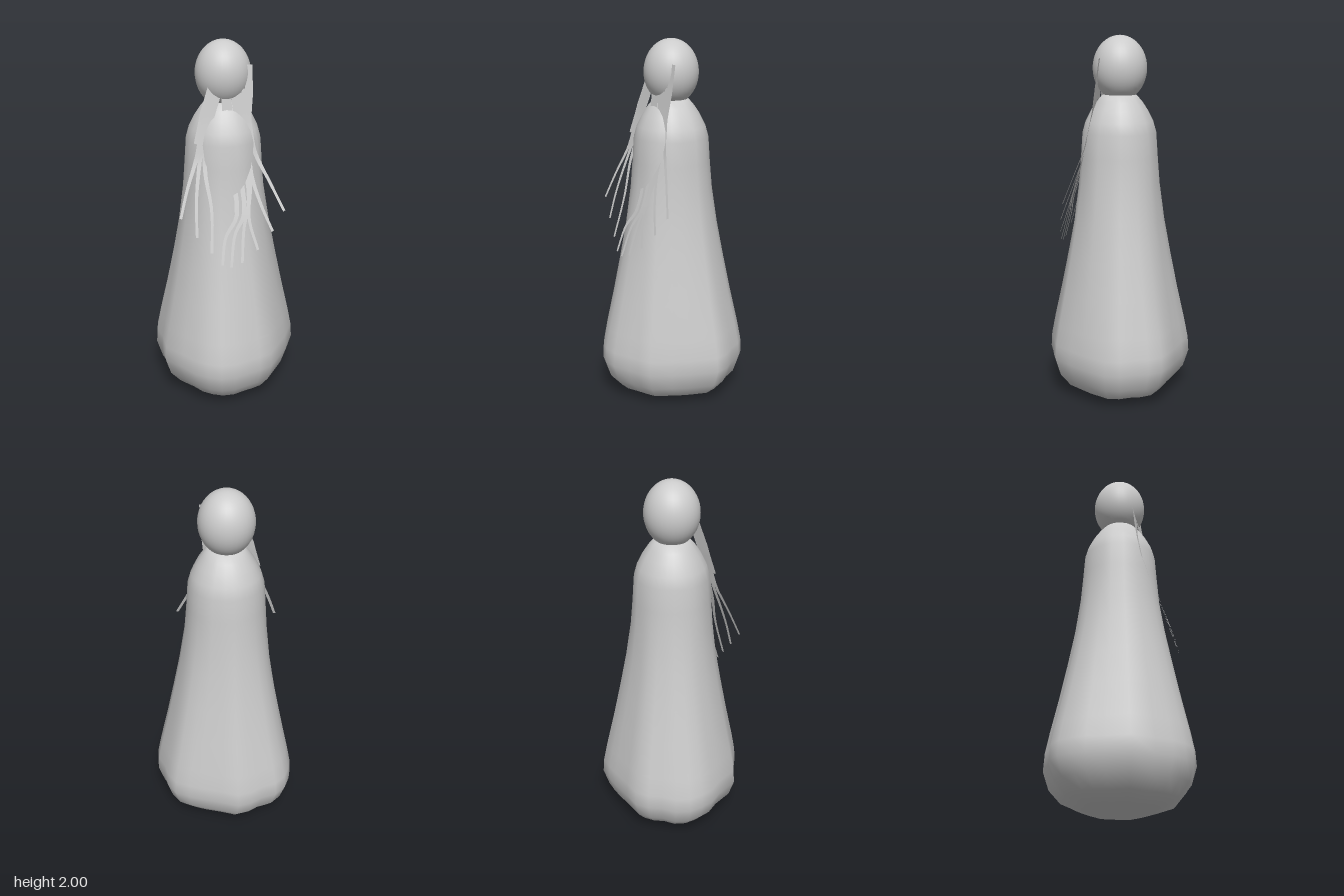
import * as THREE from 'three';
import { mergeVertices } from 'three/addons/utils/BufferGeometryUtils.js';

const CX = -0.015, CZ = -0.01; // axis of the head and shoulders

// Uneven hem of the robe (x, z), from front round by +x
const HEM = [
  [-0.02, 0.395], [0.07, 0.36], [0.13, 0.34], [0.2, 0.31], [0.27, 0.21], [0.325, 0.13], [0.395, -0.01],
  [0.385, -0.09], [0.345, -0.16], [0.32, -0.235], [0.27, -0.3], [0.19, -0.33], [0.12, -0.35], [0, -0.375],
  [-0.095, -0.4], [-0.17, -0.375], [-0.23, -0.33], [-0.31, -0.3], [-0.365, -0.24], [-0.39, -0.165],
  [-0.4, -0.09], [-0.38, 0], [-0.375, 0.135], [-0.29, 0.235], [-0.235, 0.315], [-0.17, 0.365], [-0.1, 0.395],
];

// Robe rings: mean radius, height, roundness (0 follows the hem, 1 is a circle)
const RINGS = [
  [0, 0.025, 0], [0.03, 0.004, 0], [0.1, 0.005, 0], [0.2, 0.02, 0], [0.3, 0.055, 0], [0.36, 0.125, 0],
  [0.39, 0.22, 0], [0.385, 0.3, 0], [0.365, 0.41, 0.1], [0.325, 0.6, 0.25], [0.286, 0.8, 0.4],
  [0.25, 1, 0.6], [0.223, 1.2, 0.9], [0.211, 1.35, 1], [0.202, 1.48, 1], [0.185, 1.54, 1],
  [0.155, 1.6, 1], [0.125, 1.645, 1], [0.095, 1.68, 1], [0, 1.71, 1],
];

function robeGeometry() {
  const n = HEM.length;
  const geo = new THREE.LatheGeometry(RINGS.map(([r, y]) => new THREE.Vector2(r, y)), n);
  const pos = geo.attributes.position;
  for (let i = 0; i < pos.count; i++) {
    const [r, y, round] = RINGS[i % RINGS.length];
    const [hx, hz] = HEM[Math.floor(i / RINGS.length) % n];
    const len = Math.hypot(hx, hz);
    const s = r / 0.39;
    const mix = (h, c) => c * round + s * THREE.MathUtils.lerp(h, (h / len) * 0.39, round);
    pos.setXYZ(i, mix(hx, CX), y, mix(hz, CZ));
  }
  geo.deleteAttribute('normal');
  geo.deleteAttribute('uv');
  const merged = mergeVertices(geo, 1e-4);
  merged.computeVertexNormals();
  return merged;
}

// Side profile of the beard: depth z for a height y
const DEPTH = [[0.8, 0.335], [0.87, 0.316], [1.12, 0.243], [1.4, 0.152], [1.6, 0.115], [1.9, 0.07]];
function beardZ(y) {
  let i = 0;
  while (i < DEPTH.length - 2 && y > DEPTH[i + 1][0]) i++;
  const [y0, z0] = DEPTH[i], [y1, z1] = DEPTH[i + 1];
  return z0 + ((z1 - z0) * (y - y0)) / (y1 - y0);
}

// Flat tapering ribbon through (x, y) points, laid on the beard's curve
function ribbon(points, widths, steps = 18) {
  const curve = new THREE.CatmullRomCurve3(points.map(([x, y]) => new THREE.Vector3(x, y, 0)));
  const pos = [], index = [];
  for (let i = 0; i <= steps; i++) {
    const t = i / steps;
    const p = curve.getPoint(t), d = curve.getTangent(t);
    const f = t * (widths.length - 1), k = Math.min(Math.floor(f), widths.length - 2);
    const w = THREE.MathUtils.lerp(widths[k], widths[k + 1], f - k) / 2;
    for (const side of [-1, 1]) {
      const y = p.y + side * d.x * w;
      pos.push(p.x - side * d.y * w, y, beardZ(y));
    }
    if (i < steps) {
      const a = i * 2;
      index.push(a, a + 2, a + 1, a + 1, a + 2, a + 3);
    }
  }
  const geo = new THREE.BufferGeometry();
  geo.setAttribute('position', new THREE.Float32BufferAttribute(pos, 3));
  geo.setIndex(index);
  geo.computeVertexNormals();
  return geo;
}

export function createModel() {
  const group = new THREE.Group();
  const grey = new THREE.MeshStandardMaterial({ color: 0xcccccc });
  const thin = new THREE.MeshStandardMaterial({ color: 0xcccccc, side: THREE.DoubleSide });
  const add = (parent, name, geo, mat) => {
    const mesh = new THREE.Mesh(geo, mat);
    mesh.name = name;
    parent.add(mesh);
    return mesh;
  };

  add(group, 'robe', robeGeometry(), grey);

  // Slightly tall round head
  const head = add(group, 'head', new THREE.SphereGeometry(1, 32, 24), grey);
  head.scale.set(0.148, 0.175, 0.147);
  head.position.set(CX - 0.002, 1.825, CZ - 0.002);

  // Beard strands fanning out from the chin
  const beard = new THREE.Group();
  beard.name = 'beard';
  group.add(beard);
  const strands = [
    [[-0.085, 1.76], [-0.15, 1.56], [-0.185, 1.42], [-0.245, 1.26], [-0.287, 1.12]],
    [[-0.075, 1.76], [-0.14, 1.56], [-0.17, 1.4], [-0.2, 1.2], [-0.207, 1.02]],
    [[-0.06, 1.74], [-0.12, 1.55], [-0.145, 1.36], [-0.122, 1.15], [-0.133, 0.935]],
    [[-0.03, 1.72], [-0.02, 1.45], [0.01, 1.12], [-0.055, 1.01], [-0.08, 0.87]],
    [[-0.01, 1.72], [0.02, 1.45], [0.05, 1.13], [-0.005, 1.02], [-0.033, 0.855]],
    [[0.02, 1.72], [0.06, 1.45], [0.08, 1.2], [0.045, 1.05], [0.027, 0.875]],
    [[0.04, 1.74], [0.08, 1.5], [0.092, 1.28], [0.075, 1.1], [0.115, 0.935]],
    [[0.06, 1.74], [0.09, 1.5], [0.1, 1.32], [0.145, 1.16], [0.2, 1.025]],
    [[0.075, 1.76], [0.1, 1.56], [0.125, 1.43], [0.195, 1.28], [0.268, 1.125]],
  ];
  for (const points of strands) {
    add(beard, 'beardStrand', ribbon(points, [0.03, 0.03, 0.022, 0.016, 0.014]), thin);
  }

  // Broad locks at either side of the chin
  add(beard, 'rightLock', ribbon([[-0.085, 1.77], [-0.13, 1.64], [-0.19, 1.49]], [0.06, 0.06, 0.015]), thin);
  add(beard, 'leftLock', ribbon([[0.108, 1.88], [0.1, 1.73], [0.1, 1.54]], [0.03, 0.045, 0.01]), thin);
  return group;
}
